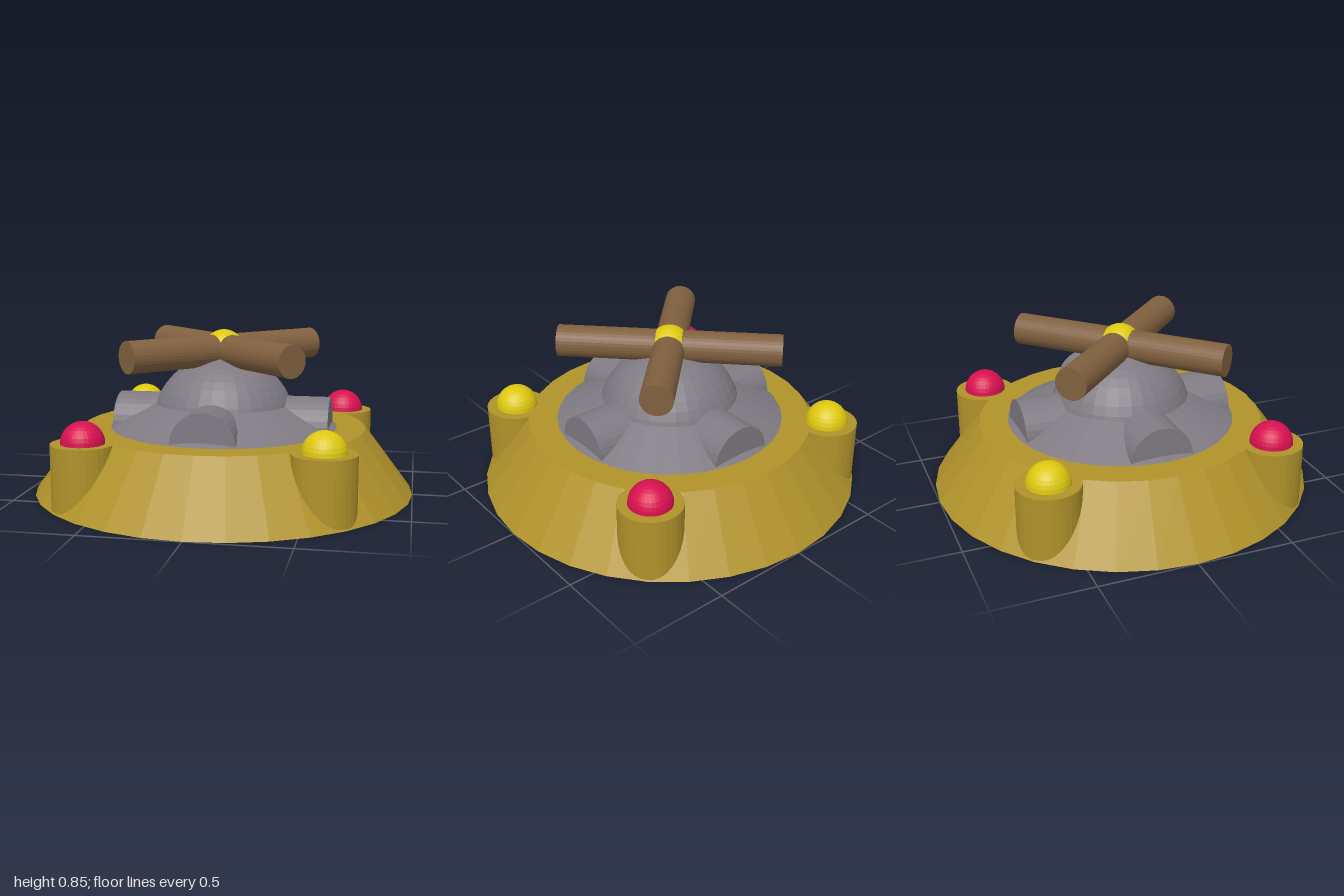
import * as THREE from 'three';

const mat = (color) => new THREE.MeshStandardMaterial({ color, flatShading: true });

export function createModel() {
  const model = new THREE.Group();
  const gold = mat(0xb0922a), stone = mat(0x7f7a82), wood = mat(0x80603f);
  const yellow = mat(0xdcc80f), red = mat(0xd81050);
  const deck = 0.335; // height of the flat top of the base

  const add = (name, geometry, material, x = 0, y = 0, z = 0) => {
    const mesh = new THREE.Mesh(geometry, material);
    mesh.name = name;
    mesh.position.set(x, y, z);
    model.add(mesh);
    return mesh;
  };

  // Sloping base plate
  add('base', new THREE.CylinderGeometry(0.75, 1, deck, 32), gold, 0, deck / 2, 0);

  // Corner posts, each with a half-sunk ball
  const postGeo = new THREE.CylinderGeometry(0.16, 0.16, deck, 32);
  const ballGeo = new THREE.SphereGeometry(0.11, 32, 16);
  for (const sx of [-1, 1]) {
    for (const sz of [-1, 1]) {
      add('cornerPost', postGeo, gold, sx * 0.59, deck / 2, sz * 0.59);
      add('cornerBall', ballGeo, sx === sz ? yellow : red, sx * 0.59, deck, sz * 0.59);
    }
  }

  // Stone skirt and dome
  add('skirt', new THREE.CylinderGeometry(0.36, 0.6, 0.125, 32), stone, 0, deck + 0.0625, 0);
  add('dome', new THREE.SphereGeometry(0.38, 32, 12, 0, Math.PI * 2, 0, Math.PI / 2), stone, 0, deck, 0);

  // Four half-round barrels radiating from the dome
  const barrelGeo = new THREE.CylinderGeometry(0.165, 0.165, 0.4, 32).rotateX(Math.PI / 2).translate(0, 0, 0.365);
  for (let i = 0; i < 4; i++) {
    add('barrel', barrelGeo, stone, 0, deck, 0).rotation.y = (i * Math.PI) / 2;
  }

  // Crossed logs with a centre ball
  const logGeo = new THREE.CylinderGeometry(0.083, 0.083, 1.165, 32).rotateX(Math.PI / 2);
  for (const s of [-1, 1]) add('log', logGeo, wood, 0, 0.737, 0).rotation.y = (s * Math.PI) / 4;
  add('centreBall', new THREE.SphereGeometry(0.108, 32, 16), yellow, 0, 0.737, 0);

  return model;
}
